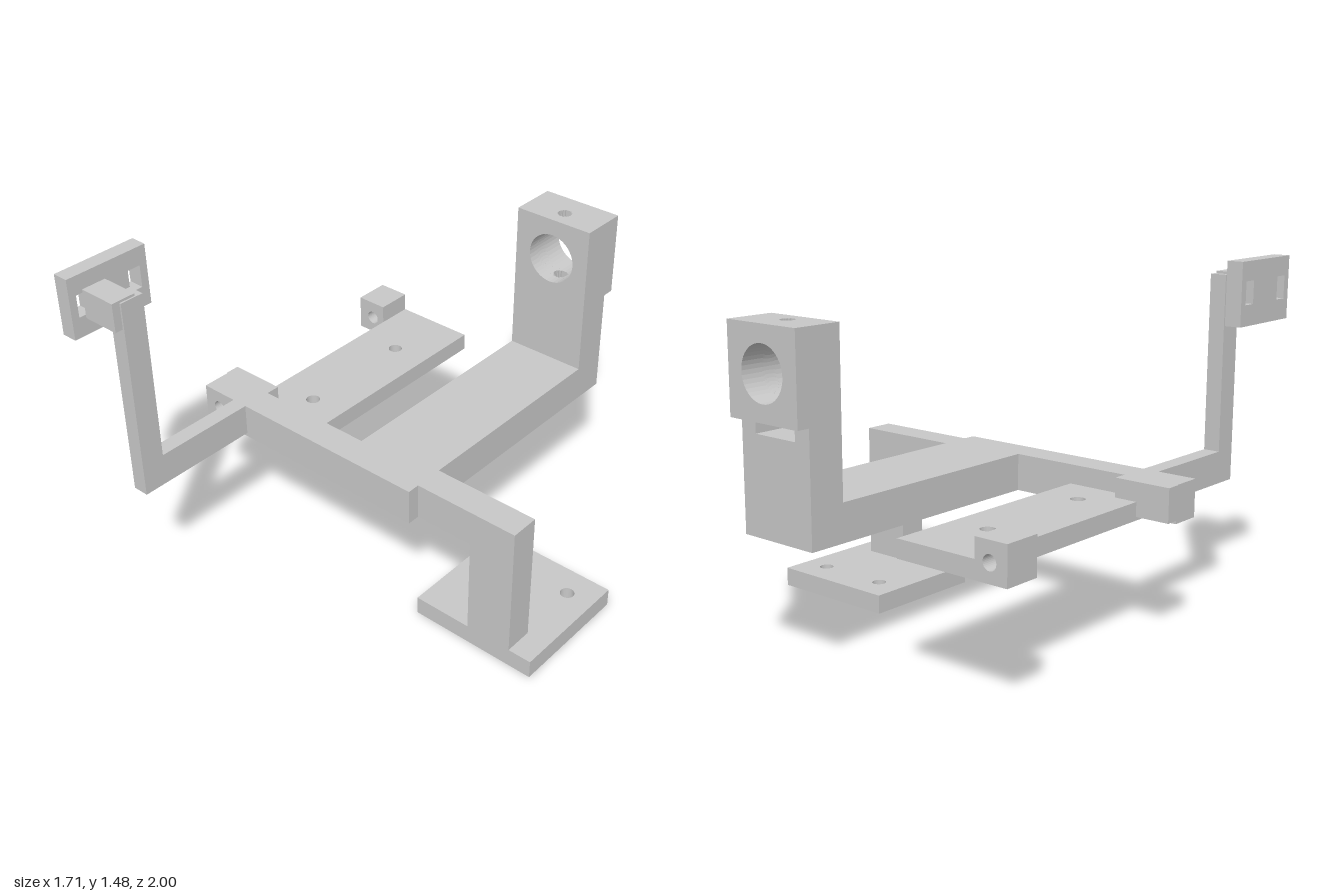
import * as THREE from 'three';

export function createModel() {
  const model = new THREE.Group();
  model.name = 'mountingBracket';
  const grey = new THREE.MeshStandardMaterial({ color: 0xc8c8c8 });
  grey.name = 'lightGrey';

  function add(name, geometry, parent = model) {
    const mesh = new THREE.Mesh(geometry, grey);
    mesh.name = name;
    parent.add(mesh);
  }

  // Box given by its limits on each axis
  function box(name, [x0, x1], [y0, y1], [z0, z1]) {
    const g = new THREE.BoxGeometry(x1 - x0, y1 - y0, z1 - z0);
    g.translate((x0 + x1) / 2, (y0 + y1) / 2, (z0 + z1) / 2);
    add(name, g);
  }

  const rect = (Type, u0, u1, v0, v1) => new Type([
    new THREE.Vector2(u0, v0), new THREE.Vector2(u1, v0),
    new THREE.Vector2(u1, v1), new THREE.Vector2(u0, v1)]);
  const circle = (u, v, r) => new THREE.Path().absarc(u, v, r, 0, Math.PI * 2, true);

  // Drilled box; the holes run along the chosen axis.
  // Hole coordinates: (x, y) for axis z, (x, -z) for axis y, (-z, y) for axis x
  function drilled(name, [x0, x1], [y0, y1], [z0, z1], axis, holes) {
    const [u0, u1, v0, v1, d0, d1] = {
      x: [-z1, -z0, y0, y1, x0, x1],
      y: [x0, x1, -z1, -z0, y0, y1],
      z: [x0, x1, y0, y1, z0, z1],
    }[axis];
    const shape = rect(THREE.Shape, u0, u1, v0, v1);
    shape.holes.push(...holes);
    const g = new THREE.ExtrudeGeometry(shape, { depth: d1 - d0, bevelEnabled: false, curveSegments: 16 });
    g.translate(0, 0, d0);
    if (axis === 'x') g.rotateY(Math.PI / 2);
    if (axis === 'y') g.rotateX(-Math.PI / 2);
    add(name, g);
  }

  // Cross bar with a blind hole closed by its end lug, and the rear arm
  const lugHole = () => circle(-0.775, 0.58, 0.03);
  drilled('crossBar', [-0.853, 0.287], [0.505, 0.66], [0.217, 0.347], 'z', [lugHole()]);
  box('barLug', [-0.857, -0.61], [0.52, 0.66], [0.157, 0.217]);
  box('rearArm', [-0.075, 0.287], [0.505, 0.66], [-0.947, 0.217]);

  // Side leg and drilled foot
  box('legBar', [0.287, 0.753], [0.505, 0.66], [0.167, 0.293]);
  box('leg', [0.547, 0.753], [0.08, 0.505], [0.167, 0.293]);
  drilled('foot', [0.287, 0.857], [0, 0.08], [-0.253, 0.293], 'y',
    [circle(0.41, 0.127, 0.03), circle(0.737, 0.127, 0.03)]);

  // Long mounting plate with a drilled rear lug
  drilled('mountingPlate', [-0.71, -0.348], [0.505, 0.58], [-0.795, 0.217], 'y',
    [circle(-0.515, 0.498, 0.03), circle(-0.515, -0.043, 0.03)]);
  drilled('plateLug', [-0.852, -0.71], [0.505, 0.66], [-0.795, -0.637], 'z', [lugHole()]);

  // Front arm, post and windowed end plate
  box('frontArm', [-0.683, -0.612], [0.522, 0.66], [0.347, 0.8]);
  box('frontPost', [-0.683, -0.612], [0.522, 1.4], [0.8, 0.903]);
  box('plateConnector', [-0.788, -0.62], [1.288, 1.41], [0.83, 0.937]);
  drilled('endPlate', [-0.857, -0.788], [1.218, 1.476], [0.63, 1], 'x', [
    rect(THREE.Path, -0.722, -0.664, 1.303, 1.397),
    rect(THREE.Path, -0.967, -0.909, 1.303, 1.397)]);

  // Rear upright with a nut slot below the head
  box('upright', [-0.075, 0.287], [0.66, 0.9], [-0.947, -0.79]);
  box('slotFront', [-0.075, 0.287], [0.9, 0.96], [-0.82, -0.79]);
  box('slotSide', [-0.075, 0], [0.9, 0.96], [-0.947, -0.82]);
  box('slotSide', [0.212, 0.287], [0.9, 0.96], [-0.947, -0.82]);

  // Ring head in mirrored slices, which leave a round screw hole down the middle
  const head = new THREE.Group();
  head.name = 'ringHead';
  head.position.x = 0.106;
  model.add(head);
  const ringY = 1.14, ringR = 0.11, screwR = 0.03, screwZ = -0.872;
  function headSlice(z0, z1, gap) {
    const a = Math.acos(gap / ringR);
    for (const side of [1, -1]) {
      const s = new THREE.Shape();
      s.moveTo(side * gap, 0.96);
      s.lineTo(side * 0.181, 0.96);
      s.lineTo(side * 0.181, 1.32);
      s.lineTo(side * gap, 1.32);
      for (let i = 0; i <= 20; i++) {
        const t = a - (2 * a * i) / 20;
        s.lineTo(side * ringR * Math.cos(t), ringY + ringR * Math.sin(t));
      }
      const g = new THREE.ExtrudeGeometry(s, { depth: z1 - z0, bevelEnabled: false });
      g.translate(0, 0, z0);
      add('headSlice', g, head);
    }
  }
  headSlice(-1, screwZ - screwR, 0);
  headSlice(screwZ + screwR, -0.79, 0);
  const n = 8;
  for (let i = 0; i < n; i++) {
    const z0 = -screwR + (2 * screwR * i) / n, z1 = z0 + (2 * screwR) / n;
    const mid = (z0 + z1) / 2;
    headSlice(screwZ + z0, screwZ + z1, Math.sqrt(screwR * screwR - mid * mid));
  }

  return model;
}
